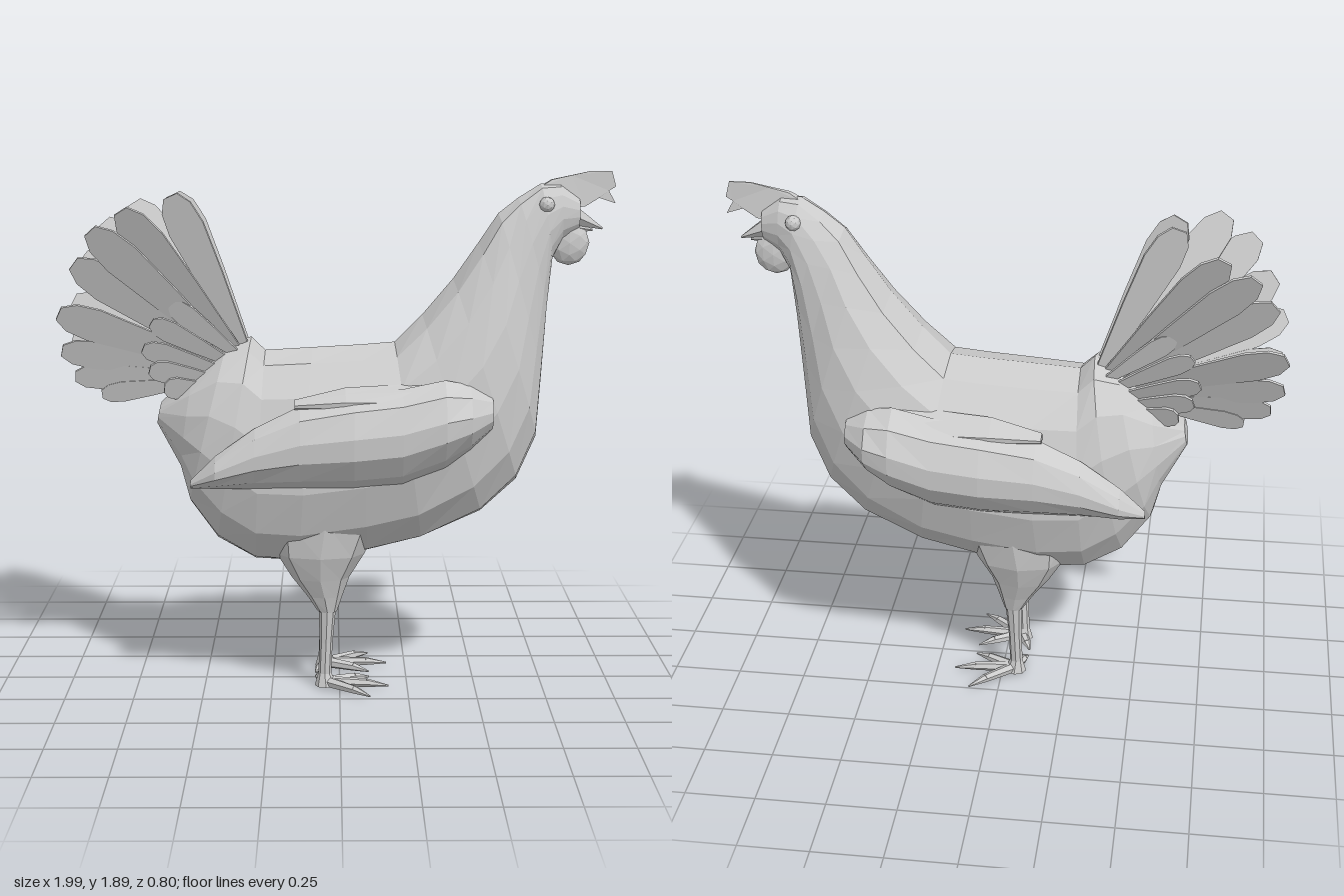
import * as THREE from 'three';

const mat = new THREE.MeshStandardMaterial({ color: 0xcccccc, flatShading: true, side: THREE.DoubleSide });
const V = (x, y, z) => new THREE.Vector3(x, y, z);

function add(parent, name, geometry) {
  const mesh = new THREE.Mesh(geometry, mat);
  mesh.name = name;
  parent.add(mesh);
  return mesh;
}

// Skin a list of equal-length point rings and close both ends
function loft(rings) {
  const n = rings[0].length, last = rings.length - 1, pos = [];
  const tri = (...pts) => pts.forEach((p) => pos.push(p.x, p.y, p.z));
  const centre = (r) => r.reduce((s, p) => s.add(p), V(0, 0, 0)).divideScalar(n);
  const c0 = centre(rings[0]), c1 = centre(rings[last]);
  for (let j = 0; j < n; j++) {
    const k = (j + 1) % n;
    for (let i = 0; i < last; i++) {
      const [a, b, c, d] = [rings[i][j], rings[i][k], rings[i + 1][j], rings[i + 1][k]];
      tri(a, b, c);
      tri(b, d, c);
    }
    tri(c0, rings[0][k], rings[0][j]);
    tri(c1, rings[last][j], rings[last][k]);
  }
  const g = new THREE.BufferGeometry();
  g.setAttribute('position', new THREE.Float32BufferAttribute(pos, 3));
  g.computeVertexNormals();
  return g;
}

// Body section: oval between a back point and a belly point
function bodyRing([tx, ty, bx, by, w], sides = 14) {
  return Array.from({ length: sides }, (_, j) => {
    const a = (j / sides) * Math.PI * 2, c = Math.cos(a), s = Math.sin(a);
    const t = (1 - c) / 2;
    return V(tx + (bx - tx) * t, ty + (by - ty) * t, w * Math.sign(s) * Math.pow(Math.abs(s), 0.9));
  });
}

// Wing section: flat inside, bulging outside
function wingRing([x, top, bottom, zIn, zOut]) {
  const h = top - bottom, d = zOut - zIn;
  return [[1, 0.15], [0.86, 0.72], [0.6, 1], [0.38, 0.98], [0.15, 0.62], [0, 0.1], [0.4, -0.3]]
    .map(([u, v]) => V(x, bottom + h * u, zIn + d * v));
}

// Horizontal section of a leg
function legRing([x, y, z, rx, rz], sides = 8) {
  return Array.from({ length: sides }, (_, j) => {
    const a = (j / sides) * Math.PI * 2;
    return V(x + rx * Math.cos(a), y, z + rz * Math.sin(a));
  });
}

// Thin round-tipped blade from base to tip
function feather(parent, name, base, tip, width, twist) {
  const len = base.distanceTo(tip), w = width / 2;
  const s = new THREE.Shape([
    [-w * 0.3, 0], [w * 0.3, 0], [w * 0.75, len * 0.45], [w, len * 0.78], [w * 0.85, len * 0.92], [w * 0.4, len],
    [-w * 0.4, len], [-w * 0.85, len * 0.92], [-w, len * 0.78], [-w * 0.75, len * 0.45],
  ].map(([x, y]) => new THREE.Vector2(x, y)));
  const g = new THREE.ExtrudeGeometry(s, { depth: 0.01, bevelEnabled: false });
  const dir = tip.clone().sub(base).normalize();
  const across = dir.clone().cross(V(0, 0, 1)).normalize().applyAxisAngle(dir, twist);
  const normal = across.clone().cross(dir);
  g.applyMatrix4(new THREE.Matrix4().makeBasis(across, dir, normal).setPosition(base));
  add(parent, name, g);
}

// Tapered rod between two points
function rod(parent, name, a, b, ra, rb, sides = 6) {
  const m = add(parent, name, new THREE.CylinderGeometry(rb, ra, a.distanceTo(b), sides));
  m.position.copy(a).lerp(b, 0.5);
  m.quaternion.setFromUnitVectors(V(0, 1, 0), b.clone().sub(a).normalize());
}

function buildSide(name) {
  const side = new THREE.Group();
  side.name = name;

  add(side, 'wing', loft([
    [-0.53, 0.82, 0.79, 0.25, 0.27],
    [-0.44, 0.91, 0.79, 0.25, 0.33],
    [-0.3, 1.01, 0.79, 0.25, 0.35],
    [-0.14, 1.09, 0.785, 0.25, 0.375],
    [0.05, 1.13, 0.785, 0.25, 0.4],
    [0.22, 1.15, 0.8, 0.25, 0.4],
    [0.37, 1.18, 0.86, 0.24, 0.4],
    [0.46, 1.16, 0.92, 0.22, 0.375],
    [0.54, 1.12, 0.99, 0.2, 0.29],
  ].map(wingRing)));

  // Shoulder feathers lying over the wing top
  add(side, 'shoulderFeathers', loft([
    [-0.16, 1.11, 1.07, 0.25, 0.29],
    [0.02, 1.15, 1.05, 0.22, 0.32],
    [0.25, 1.16, 1.04, 0.2, 0.33],
    [0.4, 1.18, 1.06, 0.18, 0.3],
  ].map(wingRing)));

  // Leg
  add(side, 'thigh', loft([
    [-0.05, 0.66, 0.14, 0.2, 0.1],
    [-0.07, 0.52, 0.13, 0.16, 0.095],
    [-0.07, 0.43, 0.125, 0.105, 0.07],
    [-0.055, 0.36, 0.125, 0.065, 0.045],
    [-0.045, 0.3, 0.125, 0.035, 0.028],
  ].map((r) => legRing(r))));
  add(side, 'shank', loft([
    [-0.045, 0.32, 0.125, 0.032, 0.026],
    [-0.05, 0.18, 0.12, 0.024, 0.02],
    [-0.055, 0.06, 0.115, 0.024, 0.02],
    [-0.05, 0.012, 0.115, 0.042, 0.035],
  ].map((r) => legRing(r))));
  const ankle = V(-0.05, 0.026, 0.115);
  for (const [x, z] of [[0.18, 0.135], [0.11, 0.255], [0.11, 0.03], [-0.09, 0.02]]) {
    const knuckle = ankle.clone().lerp(V(x, 0.024, z), 0.65);
    rod(side, 'toe', ankle, knuckle, 0.021, 0.016);
    rod(side, 'claw', knuckle, V(x, 0.016, z), 0.016, 0.003);
  }

  // Long tail feathers: tip x, y, z and blade width
  [
    [-0.6, 1.81, 0.05, 0.14], [-0.76, 1.77, 0.22, 0.14], [-0.87, 1.7, 0.2, 0.14], [-0.94, 1.58, 0.13, 0.14],
    [-0.99, 1.41, 0.19, 0.13], [-0.99, 1.27, 0.13, 0.11], [-0.95, 1.17, 0.09, 0.1], [-0.86, 1.1, 0.06, 0.08],
  ].forEach(([x, y, z, w], i) =>
    feather(side, 'tailFeather', V(-0.35 - i * 0.025, 1.28 - i * 0.02, 0.03), V(x, y, z), w, -0.3));

  // Short covert feathers over the tail root
  [[-0.6, 1.43, 0.1], [-0.67, 1.37, 0.13], [-0.7, 1.28, 0.15], [-0.68, 1.2, 0.13], [-0.63, 1.13, 0.11]]
    .forEach(([x, y, z], i) =>
      feather(side, 'tailCovert', V(-0.36 - i * 0.02, 1.24 - i * 0.03, 0.07), V(x, y, z), 0.085, -0.3));

  add(side, 'eye', new THREE.IcosahedronGeometry(0.028, 1)).position.set(0.735, 1.78, 0.078);
  return side;
}

export function createModel() {
  const hen = new THREE.Group();
  hen.name = 'hen';

  // Body, neck and head in one skin: back x, y, belly x, y, half width
  add(hen, 'body', loft([
    [-0.65, 1.06, -0.665, 0.98, 0.06],
    [-0.53, 1.17, -0.58, 0.82, 0.17],
    [-0.41, 1.27, -0.55, 0.69, 0.225],
    [-0.32, 1.3, -0.45, 0.55, 0.255],
    [-0.27, 1.25, -0.31, 0.47, 0.27],
    [-0.1, 1.26, -0.15, 0.46, 0.29],
    [0.08, 1.27, 0.1, 0.5, 0.295],
    [0.2, 1.28, 0.3, 0.55, 0.295],
    [0.3, 1.38, 0.52, 0.65, 0.275],
    [0.41, 1.51, 0.65, 0.77, 0.245],
    [0.5, 1.64, 0.72, 0.93, 0.2],
    [0.57, 1.745, 0.735, 1.15, 0.15],
    [0.64, 1.8, 0.75, 1.4, 0.118],
    [0.72, 1.85, 0.765, 1.58, 0.095],
    [0.79, 1.85, 0.8, 1.65, 0.07],
    [0.86, 1.8, 0.86, 1.69, 0.04],
  ].map((r) => bodyRing(r))));

  const left = buildSide('nearSide'), right = buildSide('farSide');
  right.scale.z = -1;
  hen.add(left, right);

  // Jagged comb, thinning towards its crest
  const comb = new THREE.ExtrudeGeometry(new THREE.Shape([
    [0.72, 1.84], [0.8, 1.76], [0.88, 1.77], [0.93, 1.8], [0.99, 1.78], [0.965, 1.825],
    [0.99, 1.84], [0.975, 1.895], [0.9, 1.895], [0.83, 1.88], [0.76, 1.865],
  ].map(([x, y]) => new THREE.Vector2(x, y))), { depth: 1, bevelEnabled: false });
  const p = comb.attributes.position;
  for (let i = 0; i < p.count; i++) {
    const taper = 0.005 + 0.6 * Math.max(0, 1.9 - p.getY(i)) * Math.max(0.1, (1 - p.getX(i)) * 3);
    p.setZ(i, (p.getZ(i) - 0.5) * taper);
  }
  comb.computeVertexNormals();
  add(hen, 'comb', comb);

  // Beak halves
  rod(hen, 'upperBeak', V(0.82, 1.745, 0), V(0.945, 1.69, 0), 0.045, 0.004);
  rod(hen, 'lowerBeak', V(0.82, 1.7, 0), V(0.91, 1.685, 0), 0.03, 0.004);

  // Wattle
  const wattle = add(hen, 'wattle', new THREE.IcosahedronGeometry(1, 1));
  wattle.scale.set(0.075, 0.082, 0.035);
  wattle.position.set(0.825, 1.64, 0);

  return hen;
}
